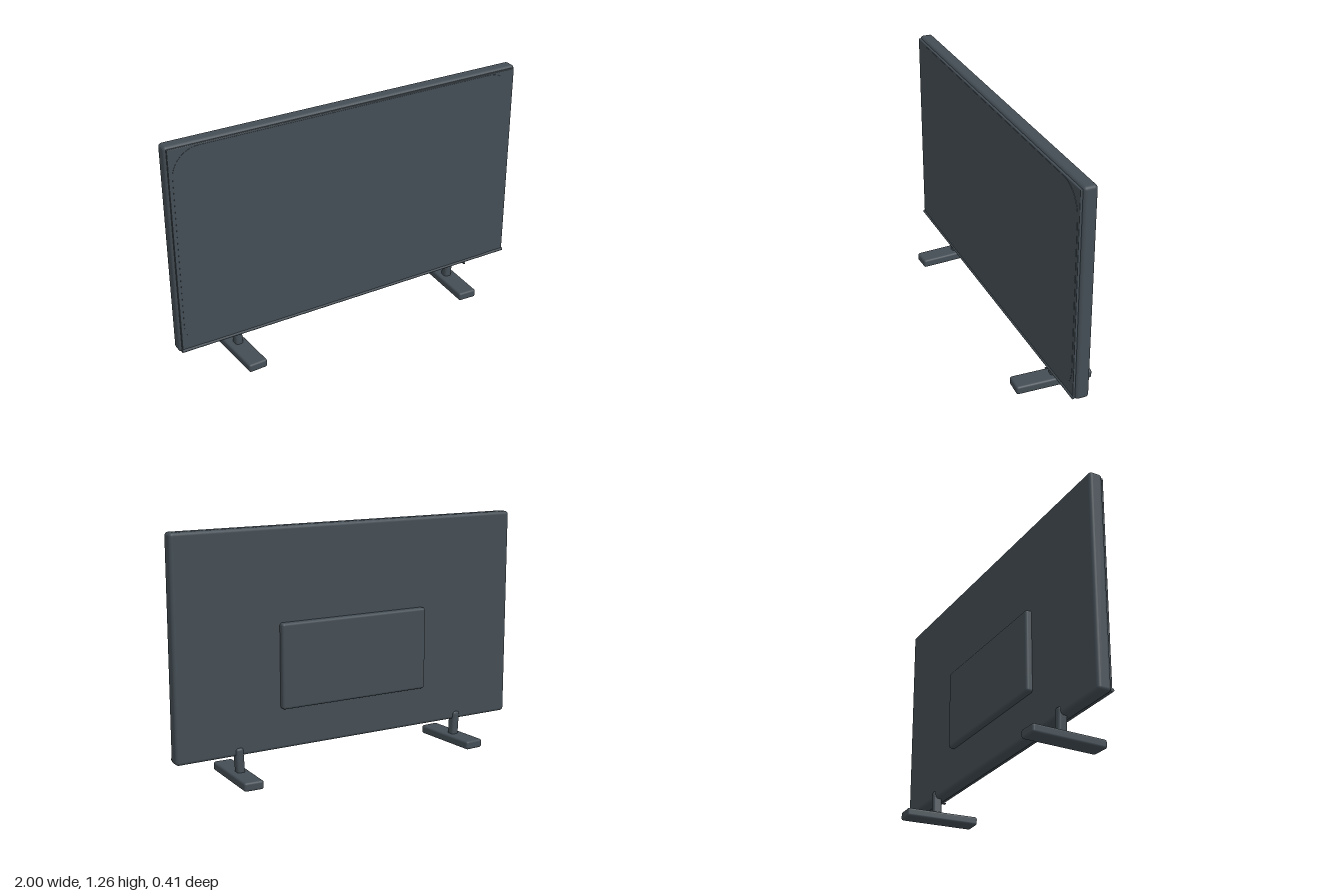
import * as THREE from 'three';
import { RoundedBoxGeometry } from 'three/addons/geometries/RoundedBoxGeometry.js';

const charcoal = new THREE.MeshStandardMaterial({ color: 0x434d54 });
charcoal.name = 'charcoal';

function add(parent, name, geometry, x, y, z) {
  const mesh = new THREE.Mesh(geometry, charcoal);
  mesh.name = name;
  mesh.position.set(x, y, z);
  parent.add(mesh);
  return mesh;
}

const roundedBox = (w, h, d, r) => new RoundedBoxGeometry(w, h, d, 4, r);

// Thin plate with rounded corners, its back on z = 0
function roundedPlate(w, h, r, depth) {
  const x = w / 2, y = h / 2;
  const s = new THREE.Shape();
  s.moveTo(-x + r, -y);
  s.lineTo(x - r, -y);
  s.absarc(x - r, -y + r, r, -Math.PI / 2, 0);
  s.absarc(x - r, y - r, r, 0, Math.PI / 2);
  s.absarc(-x + r, y - r, r, Math.PI / 2, Math.PI);
  s.absarc(-x + r, -y + r, r, Math.PI, Math.PI * 1.5);
  return new THREE.ExtrudeGeometry(s, { depth, bevelEnabled: false, curveSegments: 12 });
}

export function createModel() {
  const tv = new THREE.Group();
  tv.name = 'television';

  // Housing, front bezel and glass
  add(tv, 'housing', roundedBox(2, 1.13, 0.072, 0.018), 0, 0.695, 0.003);
  add(tv, 'bezel', roundedBox(1.976, 1.105, 0.02, 0.004), 0, 0.695, 0.039);
  add(tv, 'screen', roundedPlate(1.94, 1.09, 0.14, 0.002), 0, 0.695, 0.0485);

  // Trim strip under the screen with a small sensor
  const trim = add(tv, 'bottomTrim', new THREE.CylinderGeometry(0.009, 0.009, 1.98, 12), 0, 0.145, 0.047);
  trim.rotation.z = Math.PI / 2;
  add(tv, 'sensor', roundedBox(0.012, 0.008, 0.016, 0.003), 0.72, 0.136, 0.056);

  // Electronics cover on the back
  add(tv, 'backCover', roundedBox(0.86, 0.44, 0.045, 0.014), 0, 0.56, -0.0425);

  // Mirrored feet, toes turned slightly inward
  for (const side of [1, -1]) {
    const stand = new THREE.Group();
    stand.name = side > 0 ? 'leftStand' : 'rightStand';
    stand.position.x = side * 0.658;
    stand.rotation.y = -side * 0.05;
    add(stand, 'foot', roundedBox(0.104, 0.046, 0.404, 0.012), 0, 0.026, 0);
    const post = add(stand, 'post', roundedBox(0.042, 0.145, 0.05, 0.014), 0, 0.103, -0.018);
    post.rotation.z = -side * 0.06;
    tv.add(stand);
  }

  // Rest the feet on the ground
  tv.children.forEach((part) => { if (part.isGroup) part.position.y = -0.003; });
  return tv;
}
